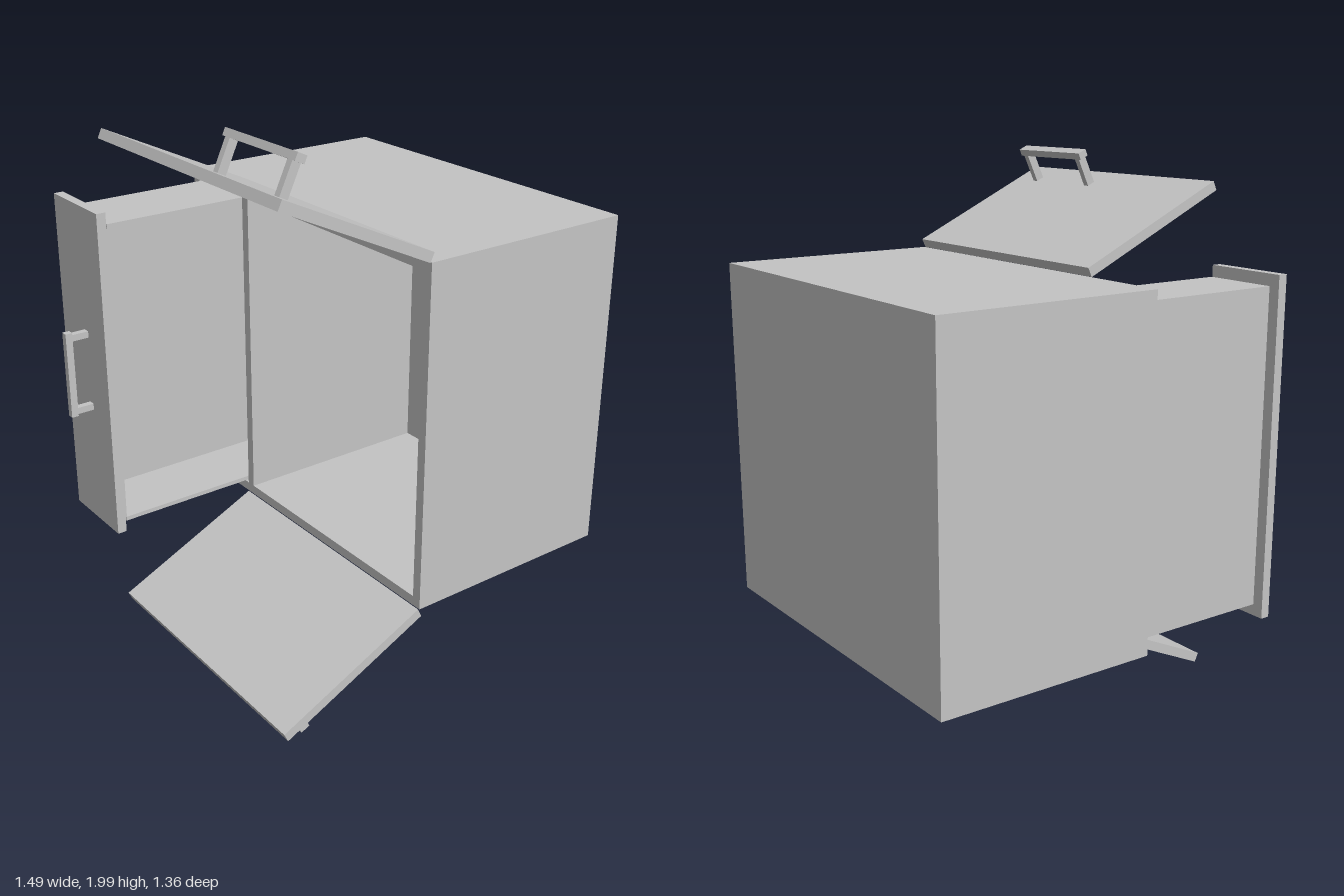
import * as THREE from 'three';

const grey = new THREE.MeshStandardMaterial({ color: 0xc4c4c4 });
grey.name = 'plain grey';

// Box given by its lower and upper limits on each axis
function box(parent, name, [x0, x1], [y0, y1], [z0, z1]) {
  const mesh = new THREE.Mesh(new THREE.BoxGeometry(x1 - x0, y1 - y0, z1 - z0), grey);
  mesh.position.set((x0 + x1) / 2, (y0 + y1) / 2, (z0 + z1) / 2);
  mesh.name = name;
  parent.add(mesh);
  return mesh;
}

function group(parent, name) {
  const g = new THREE.Group();
  g.name = name;
  parent.add(g);
  return g;
}

export function createModel() {
  const model = new THREE.Group();
  model.name = 'cabinet';
  const T = 0.035, X0 = -0.08, X1 = 0.74, Y0 = 0.387, Y1 = 1.62, Z = 0.68;
  const midY = (Y0 + Y1) / 2;

  // Hollow carcass, open towards -x
  const body = group(model, 'carcass');
  box(body, 'upperSide', [X0, X1], [Y1 - T, Y1], [-Z, Z]);
  box(body, 'lowerSide', [X0, X1], [Y0, Y0 + T], [-Z, Z]);
  for (const s of [-1, 1]) {
    const a = s * Z, b = s * (Z - T);
    box(body, 'endPanel', [X0, X1], [Y0 + T, Y1 - T], [Math.min(a, b), Math.max(a, b)]);
  }
  box(body, 'backPanel', [X1 - T, X1], [Y0 + T, Y1 - T], [-Z + T, Z - T]);
  box(body, 'divider', [X0, X1 - T], [Y0 + T, Y1 - T], [-0.355, -0.32]);

  // Pulled-out drawer, its open side towards +z
  const drawer = group(model, 'drawer');
  const dx = [-0.62, 0.12], dy = [0.43, 1.578], dz = [-0.64, -0.364], W = 0.016;
  box(drawer, 'drawerFront', [-0.657, -0.622], [Y0, Y1], [-Z, -0.364]);
  box(drawer, 'drawerFloor', dx, dy, [dz[0], dz[0] + W]);
  box(drawer, 'drawerSide', dx, [dy[1] - W, dy[1]], [dz[0] + W, dz[1]]);
  box(drawer, 'drawerSide', dx, [dy[0], dy[0] + W], [dz[0] + W, dz[1]]);
  box(drawer, 'drawerBack', [dx[1] - W, dx[1]], [dy[0] + W, dy[1] - W], [dz[0] + W, dz[1]]);
  box(drawer, 'drawerInnerFront', [dx[0] - 0.002, dx[0] + 0.003], [dy[0] + W, dy[1] - W], [dz[0] + W, dz[1]]);
  const drawerHandle = group(drawer, 'drawerHandle');
  box(drawerHandle, 'handleBar', [-0.745, -0.719], [midY - 0.162, midY + 0.162], [-0.515, -0.49]);
  for (const s of [-1, 1]) {
    const y = midY + s * 0.142;
    box(drawerHandle, 'handlePost', [-0.719, -0.657], [y - 0.012, y + 0.012], [-0.515, -0.49]);
  }

  // Two open doors, hinged on the upper and lower edges
  for (const s of [1, -1]) {
    const door = group(model, s > 0 ? 'upperDoor' : 'lowerDoor');
    door.position.set(-0.354, midY + s * 0.761, 0);
    door.rotation.z = -s * THREE.MathUtils.degToRad(25);
    // Range across the door thickness, measured outwards
    const out = (a, b) => (s > 0 ? [a, b] : [-b, -a]);
    box(door, 'doorPanel', [-0.306, 0.306], out(-0.0175, 0.0175), [-0.35, 0.678]);
    const handle = group(door, 'doorHandle');
    box(handle, 'handleBar', [-0.231, -0.195], out(0.127, 0.153), [0.206, 0.578]);
    for (const z of [0.232, 0.552]) {
      box(handle, 'handlePost', [-0.229, -0.197], out(0.0175, 0.127), [z - 0.012, z + 0.012]);
    }
  }
  return model;
}
